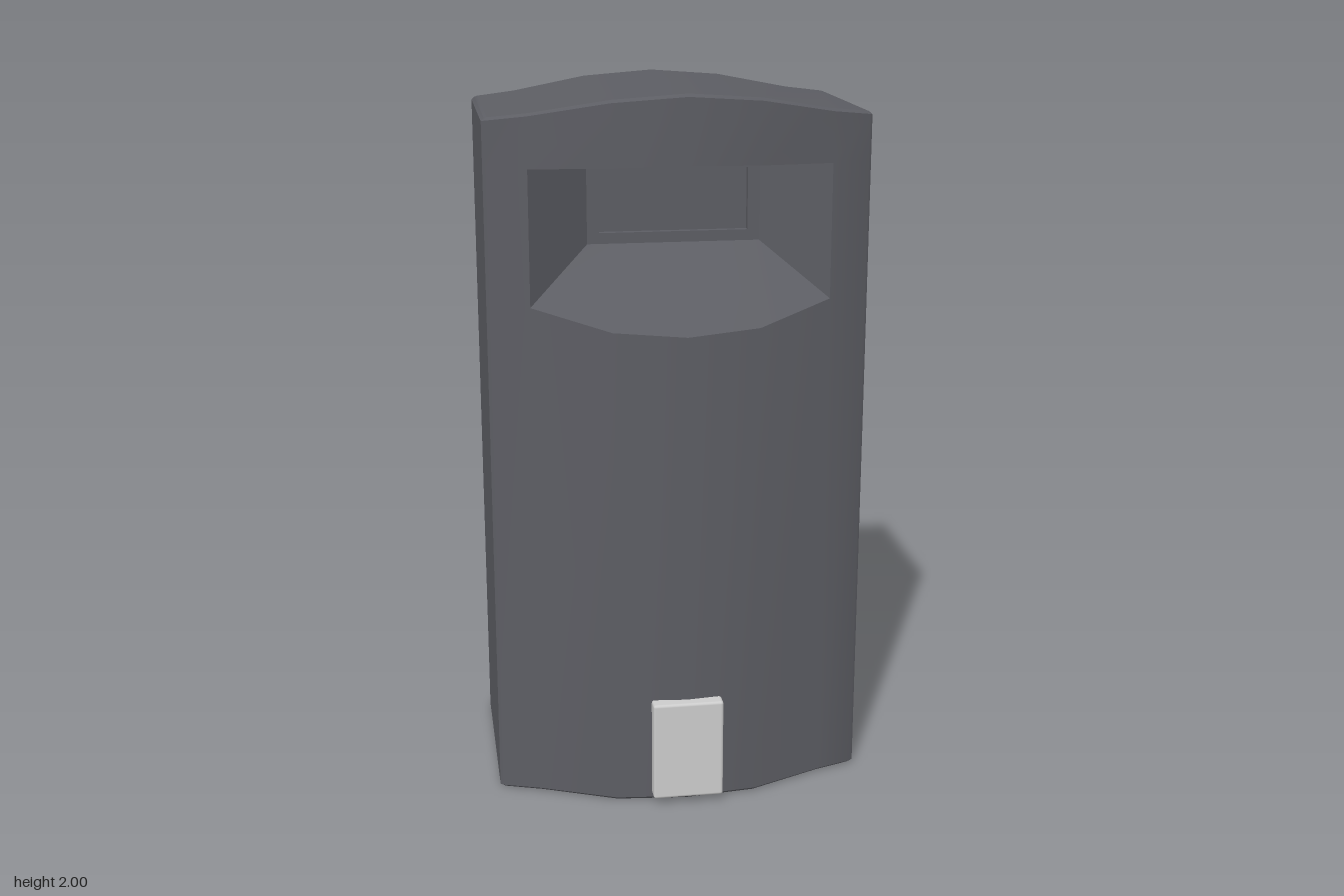
import * as THREE from 'three';
import { toCreasedNormals } from 'three/addons/utils/BufferGeometryUtils.js';
import { RoundedBoxGeometry } from 'three/addons/geometries/RoundedBoxGeometry.js';

// Collects quads, corners counter-clockwise seen from outside
function quadBuilder() {
  const pos = [];
  return {
    quad(a, b, c, d) { pos.push(...a, ...b, ...c, ...a, ...c, ...d); },
    build(crease) {
      const g = new THREE.BufferGeometry();
      g.setAttribute('position', new THREE.Float32BufferAttribute(pos, 3));
      return toCreasedNormals(g, crease);
    },
  };
}

// Columns across the width: [x, front z, back z, top y, opening bottom y, opening top y]
const HALF = [
  [0, 0.34, -0.37, 2.0, 1.36, 1.815],
  [0.2, 0.32, -0.37, 1.985, 1.375, 1.81],
  [0.41, 0.23, -0.37, 1.945, 1.43, 1.80],
  [0.517, 0.194, -0.37, 1.932, 1.43, 1.80],
  [0.525, 0.186, -0.362, 1.93, 1.43, 1.80],
];
const COLUMNS = [
  ...HALF.slice(1).reverse().map(([x, ...rest]) => [-x, ...rest]),
  ...HALF,
];
const BEVEL = 0.008;
const OPEN = 0.41;                                     // half width of the opening
const PANEL = { x: 0.24, y0: 1.57, y1: 1.80, z: 0.08 };  // back of the recess

function bodyGeometry() {
  const { quad, build } = quadBuilder();
  const inset = (x, y, z) => [x * (1 - BEVEL / 0.525), y, z - Math.sign(z) * BEVEL];
  const cols = COLUMNS.map(([x, f, b, top, lo, hi]) => ({
    x,
    front: [inset(x, 0, f), [x, BEVEL, f], [x, lo, f], [x, hi, f], [x, top - BEVEL, f], inset(x, top, f)],
    back: [inset(x, 0, b), [x, BEVEL, b], [x, lo, b], [x, hi, b], [x, top - BEVEL, b], inset(x, top, b)],
  }));

  for (let i = 0; i < cols.length - 1; i++) {
    const p = cols[i], q = cols[i + 1];
    const open = Math.max(Math.abs(p.x), Math.abs(q.x)) <= OPEN;
    for (let r = 0; r < 5; r++) {
      if (!(open && r === 2)) quad(p.front[r], q.front[r], q.front[r + 1], p.front[r + 1]);
      quad(q.back[r], p.back[r], p.back[r + 1], q.back[r + 1]);
    }
    // Top and underside
    quad(p.front[5], q.front[5], q.back[5], p.back[5]);
    quad(p.back[0], q.back[0], q.front[0], p.front[0]);
    // Sloping floor and ceiling of the recess
    if (open) {
      const k = PANEL.x / OPEN;
      const at = (c, y) => [c.x * k, y, PANEL.z];
      quad(p.front[2], q.front[2], at(q, PANEL.y0), at(p, PANEL.y0));
      quad(at(p, PANEL.y1), at(q, PANEL.y1), q.front[3], p.front[3]);
    }
  }

  // Outer sides
  const l = cols[0], r = cols[cols.length - 1];
  for (let k = 0; k < 5; k++) {
    quad(r.front[k], r.back[k], r.back[k + 1], r.front[k + 1]);
    quad(l.back[k], l.front[k], l.front[k + 1], l.back[k + 1]);
  }

  // Flared side cheeks of the recess
  const a = cols.find((c) => c.x === -OPEN), b = cols.find((c) => c.x === OPEN);
  const { x, y0, y1, z } = PANEL;
  quad(a.front[2], [-x, y0, z], [-x, y1, z], a.front[3]);
  quad([x, y0, z], b.front[2], b.front[3], [x, y1, z]);
  return build(0.5);
}

// Back wall of the recess: a frame stepping in to a shallow window
function windowGeometry() {
  const { quad, build } = quadBuilder();
  const rect = (x, y0, y1, z) => [[-x, y0, z], [x, y0, z], [x, y1, z], [-x, y1, z]];
  const rings = [
    rect(PANEL.x, PANEL.y0, PANEL.y1, PANEL.z),
    rect(0.207, 1.60, 1.772, PANEL.z),
    rect(0.207, 1.60, 1.772, PANEL.z - 0.02),
  ];
  for (let r = 0; r < 2; r++) {
    for (let i = 0; i < 4; i++) {
      const j = (i + 1) % 4;
      quad(rings[r][i], rings[r][j], rings[r + 1][j], rings[r + 1][i]);
    }
  }
  quad(...rings[2]);
  return build(0.5);
}

export function createModel() {
  const group = new THREE.Group();
  group.name = 'wallDispenser';
  const dark = new THREE.MeshStandardMaterial({ color: 0x5c5d63 });
  const grey = new THREE.MeshStandardMaterial({ color: 0xcccccc });

  const add = (name, geometry, material) => {
    const mesh = new THREE.Mesh(geometry, material);
    mesh.name = name;
    group.add(mesh);
    return mesh;
  };

  add('housing', bodyGeometry(), dark);
  add('recessWindow', windowGeometry(), dark);

  // Small plate low on the front
  add('frontPlate', new RoundedBoxGeometry(0.2, 0.29, 0.07, 2, 0.008), grey)
    .position.set(0, 0.165, 0.335);

  return group;
}
